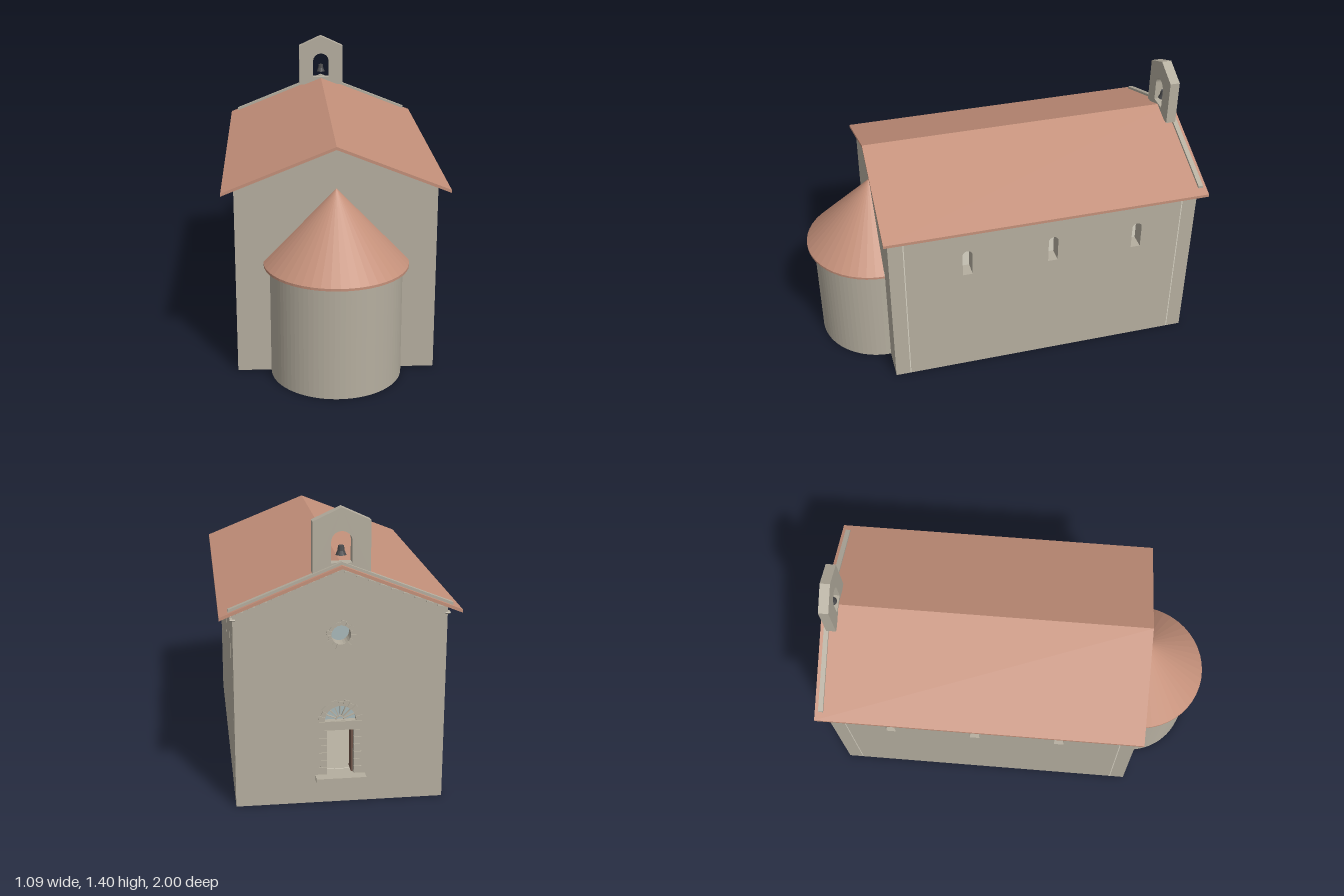
import * as THREE from 'three';

const mat = (color) => new THREE.MeshStandardMaterial({ color, flatShading: true, side: THREE.DoubleSide });

export function createModel() {
  const model = new THREE.Group();
  const stone = mat(0xb5ae9f), plaster = mat(0xd8d3c4), tile = mat(0xc4907a);
  const wood = mat(0x6e5347), iron = mat(0x4a4a4c), glass = mat(0xa9b9ba);

  const W = 0.485, BACK = -0.95, FRONT = 0.645, EAVE = 0.938, RIDGE = 1.131, SLOPE = 0.4;
  const THICK = 0.08, LINER = 0.005;

  function add(name, geo, material, x = 0, y = 0, z = 0, parent = model) {
    const m = new THREE.Mesh(geo, material);
    m.name = name;
    m.position.set(x, y, z);
    parent.add(m);
    return m;
  }
  function group(name) {
    const g = new THREE.Group();
    g.name = name;
    model.add(g);
    return g;
  }
  const box = (w, h, d) => new THREE.BoxGeometry(w, h, d);
  const poly = (pts) => new THREE.Shape(pts.map((p) => new THREE.Vector2(p[0], p[1])));
  const extrude = (shape, depth, curveSegments = 12) =>
    new THREE.ExtrudeGeometry(shape, { depth, bevelEnabled: false, curveSegments });

  // Round-headed opening: half width r, sill y0, springing y1
  function arch(cx, r, y0, y1) {
    const p = new THREE.Path();
    p.moveTo(cx - r, y0);
    p.lineTo(cx + r, y0);
    p.lineTo(cx + r, y1);
    p.absarc(cx, y1, r, 0, Math.PI, false);
    p.closePath();
    return p;
  }
  const gable = () => poly([[-W, 0], [W, 0], [W, EAVE], [0, RIDGE], [-W, EAVE]]);

  // Entrance wall with doorway, fan light and round window
  const LUN_Y = 0.405, OCU_Y = 0.82;
  function entranceShape() {
    const s = gable();
    s.holes.push(new THREE.Path([[-0.065, 0.13], [0.065, 0.13], [0.065, 0.36], [-0.065, 0.36]]
      .map((p) => new THREE.Vector2(p[0], p[1]))));
    s.holes.push(arch(0, 0.072, LUN_Y, LUN_Y + 0.001));
    const o = new THREE.Path();
    o.absarc(0, OCU_Y, 0.045, 0, Math.PI * 2, false);
    s.holes.push(o);
    return s;
  }
  add('entranceWall', extrude(entranceShape(), THICK - LINER), stone, 0, 0, BACK);
  add('entranceWallPlaster', extrude(entranceShape(), LINER), plaster, 0, 0, BACK + THICK - LINER);

  // Wall behind the apse
  add('apseEndWall', extrude(gable(), THICK - LINER), stone, 0, 0, FRONT - THICK + LINER);
  add('apseEndWallPlaster', extrude(gable(), LINER), plaster, 0, 0, FRONT - THICK);

  // Long walls with three blind arched windows each
  const z0 = BACK + THICK, z1 = FRONT - THICK;
  const sideShape = () => poly([[-z1, 0], [-z0, 0], [-z0, EAVE], [-z1, EAVE]]);
  for (const s of [1, -1]) {
    const side = s > 0 ? 'left' : 'right';
    const shape = sideShape();
    for (const z of [0.25, -0.195, -0.64]) shape.holes.push(arch(-z, 0.025, 0.615, 0.74));
    const wall = add(side + 'Wall', extrude(shape, THICK - LINER), stone, s > 0 ? W - THICK + LINER : -W);
    const liner = add(side + 'WallPlaster', extrude(sideShape(), LINER), plaster,
      s > 0 ? W - THICK : -W + THICK - LINER);
    wall.rotation.y = liner.rotation.y = Math.PI / 2;
  }
  add('floor', box(2 * (W - THICK), 0.03, z1 - z0), stone, 0, 0.115, (z0 + z1) / 2);

  // Chevron slab following the roof pitch
  function chevron(halfW, ridgeTop, t, depth) {
    const e = ridgeTop - SLOPE * halfW;
    return extrude(poly([[-halfW, e - t], [0, ridgeTop - t], [halfW, e - t],
      [halfW, e], [0, ridgeTop], [-halfW, e]]), depth);
  }
  add('roof', chevron(0.545, 1.147, 0.015, 1.655), tile, 0, 0, -0.985);
  add('gableCoping', chevron(0.505, 1.16, 0.014, 0.024), stone, 0, 0, -0.966);

  // Cornice of small rounded blocks under the eaves and the gable rake
  const cornice = group('cornice');
  const lens = new THREE.CylinderGeometry(0.02, 0.02, 0.024, 10);
  for (const s of [1, -1]) {
    for (let i = 0; i < 28; i++) {
      const b = add('eaveBlock', lens, stone, s * W, 0.905, 0.535 - i * 0.0545, cornice);
      b.rotation.z = Math.PI / 2;
      b.scale.x = 0.35;
    }
    for (let i = 0; i < 9; i++) {
      const x = 0.03 + i * 0.053;
      const g = new THREE.Group();
      g.position.set(s * x, RIDGE - SLOPE * x - 0.014, BACK);
      g.rotation.z = -s * Math.atan(SLOPE);
      cornice.add(g);
      const b = add('rakeBlock', lens, stone, 0, 0, 0, g);
      b.rotation.x = Math.PI / 2;
      b.scale.z = 0.35;
    }
  }

  // Half-round apse, open below, with a half-cone roof
  function halfRing(r0, r1) {
    const s = new THREE.Shape();
    s.absarc(0, 0, r1, 0, Math.PI, false);
    s.absarc(0, 0, r0, Math.PI, 0, true);
    return extrude(s, 0.565, 20);
  }
  add('apseWall', halfRing(0.245, 0.32), stone, 0, 0.565, FRONT).rotation.x = Math.PI / 2;
  add('apsePlaster', halfRing(0.24, 0.245), plaster, 0, 0.565, FRONT).rotation.x = Math.PI / 2;
  add('apseRoof', new THREE.ConeGeometry(0.35, 0.365, 24, 1, true, -Math.PI / 2, Math.PI),
    tile, 0, 0.7575, FRONT + 0.005);
  add('apseEave', new THREE.CylinderGeometry(0.35, 0.35, 0.012, 24, 1, false, -Math.PI / 2, Math.PI),
    tile, 0, 0.569, FRONT + 0.005);

  // Bell gable
  const belfry = poly([[-0.13, 1.108], [0, 1.108], [0.13, 1.108], [0.13, 1.34], [0, 1.4], [-0.13, 1.34]]);
  belfry.holes.push(arch(0, 0.047, 1.152, 1.248));
  add('bellGable', extrude(belfry, 0.05), stone, 0, 0, -0.953);
  const bellProfile = [[0, 0.042], [0.013, 0.042], [0.016, 0.02], [0.024, 0], [0, 0.004]]
    .map((p) => new THREE.Vector2(p[0], p[1]));
  add('bell', new THREE.LatheGeometry(bellProfile, 14), iron, 0, 1.184, -0.928);

  // Wedge stones around an arc, alternating in length
  function wedges(name, cy, r0, r1, from, sweep, n) {
    const g = group(name);
    for (let i = 0; i < n; i++) {
      const step = sweep / n, a = from + (i + 0.06) * step, b = from + (i + 0.94) * step;
      const r = i % 2 ? r1 - 0.008 : r1;
      const at = (rad, t) => [rad * Math.cos(t), rad * Math.sin(t)];
      add('wedgeStone', extrude(poly([at(r0, a), at(r, a), at(r, b), at(r0, b)]), 0.01),
        stone, 0, cy, BACK - 0.005, g);
    }
  }
  wedges('roundWindowSurround', OCU_Y, 0.045, 0.068, 0, Math.PI * 2, 16);
  wedges('doorArch', LUN_Y, 0.075, 0.105, 0, Math.PI, 11);

  // Doorway: jamb stones, lintel, step and two leaves opened inwards
  const door = group('doorway');
  for (const s of [1, -1]) {
    for (let i = 0; i < 6; i++) {
      const w = i % 2 ? 0.028 : 0.036;
      add('jambStone', box(w, 0.034, 0.02), stone, s * (0.063 + w / 2), 0.16 + i * 0.0367, BACK + 0.004, door);
    }
    add('doorLeaf', box(0.008, 0.23, 0.065), wood, s * 0.061, 0.245, BACK + 0.075, door);
  }
  add('lintel', box(0.2, 0.042, 0.02), stone, 0, 0.383, BACK + 0.004, door);
  add('doorStep', box(0.232, 0.022, 0.06), stone, 0, 0.129, -0.97, door);

  // Fan light: glass, radiating bars and a hub
  const fan = group('fanLight');
  const half = new THREE.CircleGeometry(0.073, 20, 0, Math.PI);
  add('fanGlass', half, glass, 0, LUN_Y, BACK + 0.025, fan);
  for (let i = 1; i < 8; i++) {
    const a = (i * Math.PI) / 8;
    const bar = add('fanBar', box(0.056, 0.004, 0.01), stone,
      0.044 * Math.cos(a), LUN_Y + 0.044 * Math.sin(a), BACK + 0.017, fan);
    bar.rotation.z = a;
  }
  add('fanHub', new THREE.TorusGeometry(0.018, 0.003, 6, 12, Math.PI), stone, 0, LUN_Y, BACK + 0.017, fan);

  // Round window glass
  add('roundWindowGlass', new THREE.CircleGeometry(0.045, 24), glass, 0, OCU_Y, BACK + 0.06);

  return model;
}
